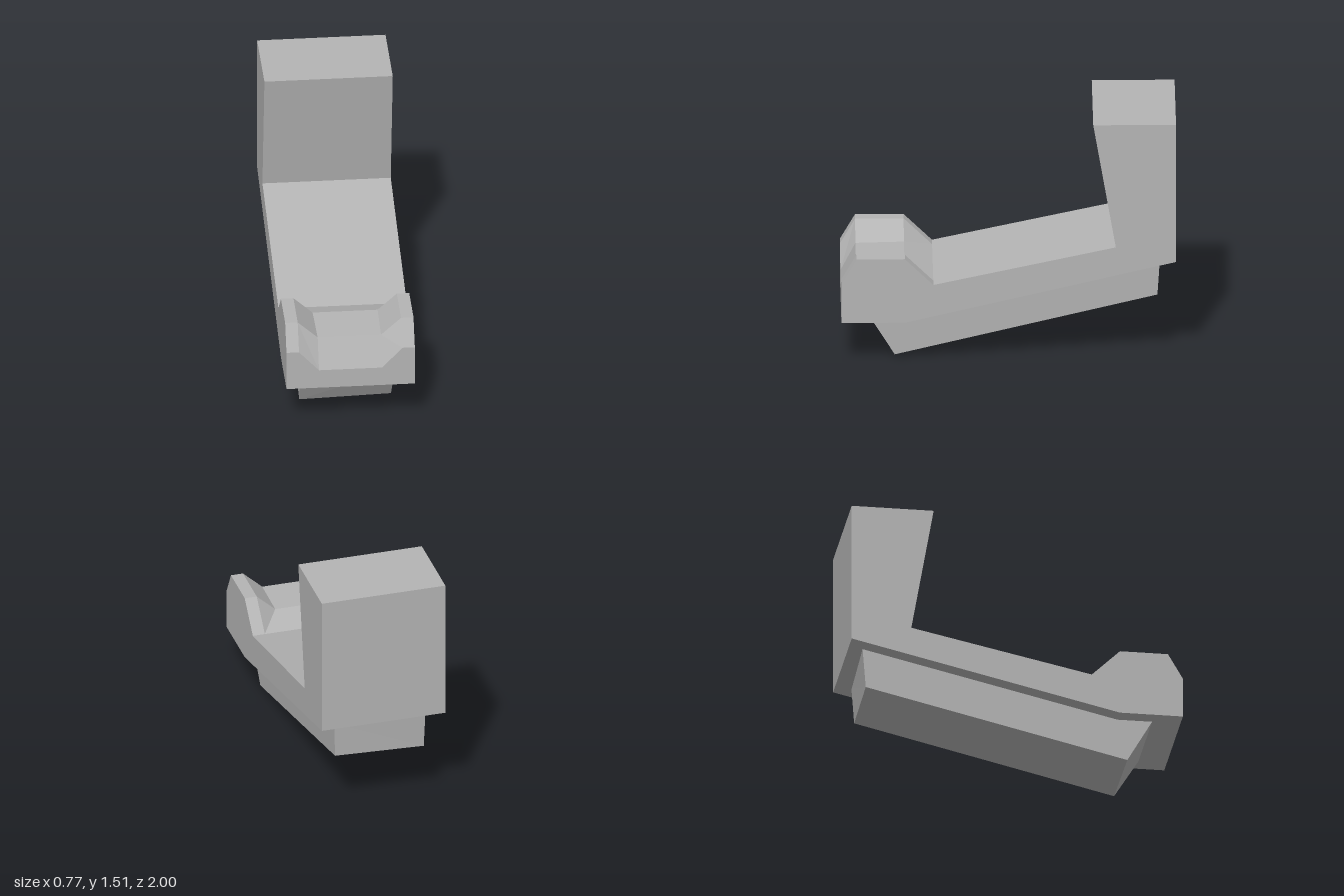
import * as THREE from 'three';

// Joins rings of [x, y, z] points (counter-clockwise from the front), listed front to back.
function loft(rings, backCap) {
  const pos = [];
  const tri = (a, b, c) => pos.push(...a, ...b, ...c);
  for (let i = 0; i < rings.length - 1; i++) {
    const n = rings[i].length;
    for (let j = 0; j < n; j++) {
      const k = (j + 1) % n;
      const a = rings[i][j], b = rings[i][k], c = rings[i + 1][k], d = rings[i + 1][j];
      tri(a, d, c);
      tri(a, c, b);
    }
  }
  const cap = (ring, flip) => {
    const outline = ring.map(p => new THREE.Vector2(p[0], p[1]));
    for (const [a, b, c] of THREE.ShapeUtils.triangulateShape(outline, [])) {
      if (flip) tri(ring[a], ring[c], ring[b]);
      else tri(ring[a], ring[b], ring[c]);
    }
  };
  cap(rings[0], false);
  if (backCap) cap(rings[rings.length - 1], true);
  const geo = new THREE.BufferGeometry();
  geo.setAttribute('position', new THREE.Float32BufferAttribute(pos, 3));
  geo.computeVertexNormals();
  return geo;
}

export function createModel() {
  const group = new THREE.Group();
  const grey = new THREE.MeshStandardMaterial({ color: 0xb4b4b4 });
  grey.name = 'plain grey';
  const add = (name, geo) => {
    const mesh = new THREE.Mesh(geo, grey);
    mesh.name = name;
    group.add(mesh);
  };
  const W = 0.385;

  // Sloping arm and upright back slab, one side profile of [z, y]
  const profile = [[0.45, 0.3], [0.45, 0.5], [-0.64, 0.735], [-0.505, 1.515], [-1, 1.515], [-1, 0.64]];
  const shape = new THREE.Shape(profile.map(([z, y]) => new THREE.Vector2(z, y)));
  const body = new THREE.ExtrudeGeometry(shape, { depth: 2 * W, bevelEnabled: false });
  body.translate(0, 0, -W);
  body.rotateY(-Math.PI / 2);
  add('armAndUpright', body);

  // Front cradle: raised cheeks with a sloping-sided notch between them
  // Stations: z, bottom y, cheek y, notch floor y, floor half width
  const stations = [
    [1, 0.26, 0.51, 0.38, 0.19],
    [0.91, 0.26, 0.665, 0.555, 0.19],
    [0.62, 0.26, 0.665, 0.56, 0.195],
    [0.45, 0.3, 0.5, 0.5, 0.31],
  ];
  const rings = stations.map(([z, bottom, top, floor, w]) => [
    [-W, bottom, z], [W, bottom, z], [W, top, z], [0.31, top, z],
    [w, floor, z], [-w, floor, z], [-0.31, top, z], [-W, top, z],
  ]);
  add('frontCradle', loft(rings, false));

  // Slightly skewed block under the arm
  add('underBlock', loft([
    [[-0.28, 0, 0.68], [0.27, 0.015, 0.68], [0.28, 0.262, 0.83], [-0.285, 0.262, 0.83]],
    [[-0.28, 0.375, -0.9], [0.27, 0.39, -0.89], [0.28, 0.625, -0.905], [-0.285, 0.625, -0.92]],
  ], true));

  return group;
}
